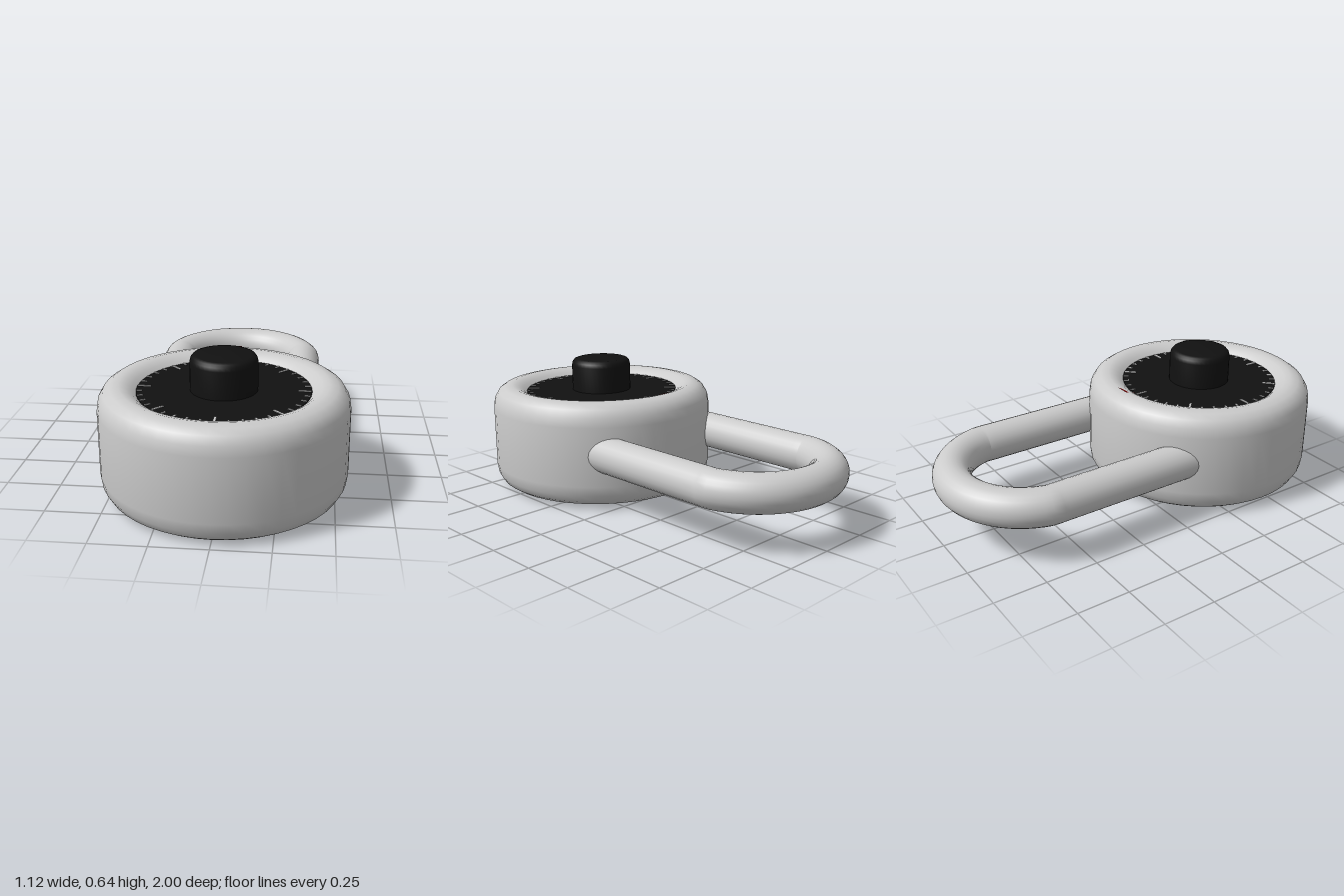
import * as THREE from 'three';
import { toCreasedNormals } from 'three/addons/utils/BufferGeometryUtils.js';

const material = (color, side = THREE.FrontSide) => new THREE.MeshStandardMaterial({ color, side });
const grey = material(0xcccccc);
const black = material(0x111111);
const red = material(0x7a0c0c, THREE.DoubleSide);

function add(parent, name, geometry, mat) {
  const mesh = new THREE.Mesh(geometry, mat);
  mesh.name = name;
  parent.add(mesh);
  return mesh;
}

// Turned part from [radius, height] pairs, bottom to top
function turned(profile, segments = 48) {
  const points = profile.map(([r, y]) => new THREE.Vector2(r, y));
  return toCreasedNormals(new THREE.LatheGeometry(points, segments), 0.6);
}

export function createModel() {
  const lock = new THREE.Group();
  lock.name = 'padlock';

  // Case and dial lean very slightly towards the front
  const body = new THREE.Group();
  body.name = 'body';
  body.position.set(0, 0.006, 0.435);
  body.rotation.x = 0.012;
  lock.add(body);

  // Round case with soft edges and a rim sloping down to the dial
  add(body, 'case', turned([
    [0, 0], [0.46, 0], [0.5, 0.008], [0.53, 0.028], [0.551, 0.064], [0.558, 0.11],
    [0.558, 0.4], [0.551, 0.445], [0.53, 0.48], [0.5, 0.5], [0.46, 0.508],
    [0.43, 0.5], [0.405, 0.486], [0.385, 0.468], [0, 0.466],
  ]), grey);

  // Dial plate
  add(body, 'dial', turned([[0.386, 0.45], [0.386, 0.472], [0, 0.472]]), black);

  // Turning knob
  add(body, 'knob', turned([
    [0.15, 0.46], [0.15, 0.6], [0.146, 0.617], [0.137, 0.628], [0.122, 0.633], [0, 0.633],
  ], 40), black);

  // Forty tick marks, every fifth one longer
  const ticks = new THREE.Group();
  ticks.name = 'dialTicks';
  body.add(ticks);
  for (let i = 0; i < 40; i++) {
    const major = i % 5 === 0;
    const length = major ? 0.058 : 0.025;
    const angle = (i / 40) * Math.PI * 2;
    const geometry = new THREE.BoxGeometry(major ? 0.011 : 0.009, 0.004, length);
    geometry.translate(0, 0.473, -0.383 + length / 2);
    add(ticks, 'tick', geometry.rotateY(-angle), grey);
  }

  // Triangular pointer lying on the rim
  const pointer = new THREE.BufferGeometry().setFromPoints([
    new THREE.Vector3(0, 0.48, -0.39),
    new THREE.Vector3(0.037, 0.515, -0.471),
    new THREE.Vector3(-0.037, 0.515, -0.471),
  ]);
  pointer.computeVertexNormals();
  add(body, 'pointer', pointer, red);

  // Shackle: two straight legs joined by an arch
  const legX = 0.34, archZ = -0.56, archR = 0.349, start = 0.22;
  const path = [];
  for (const z of [0.25, 0, -0.3, -0.5, -0.6]) path.push(new THREE.Vector3(legX, 0, z));
  for (let i = 0; i <= 16; i++) {
    const a = start + (i / 16) * (Math.PI - 2 * start);
    path.push(new THREE.Vector3(archR * Math.cos(a), 0, archZ - archR * Math.sin(a)));
  }
  for (const z of [-0.6, -0.5, -0.3, 0, 0.25]) path.push(new THREE.Vector3(-legX, 0, z));
  const curve = new THREE.CatmullRomCurve3(path, false, 'centripetal');
  const shackle = add(lock, 'shackle', new THREE.TubeGeometry(curve, 100, 0.089, 24), grey);
  shackle.position.set(-0.015, 0.27, 0);

  return lock;
}
